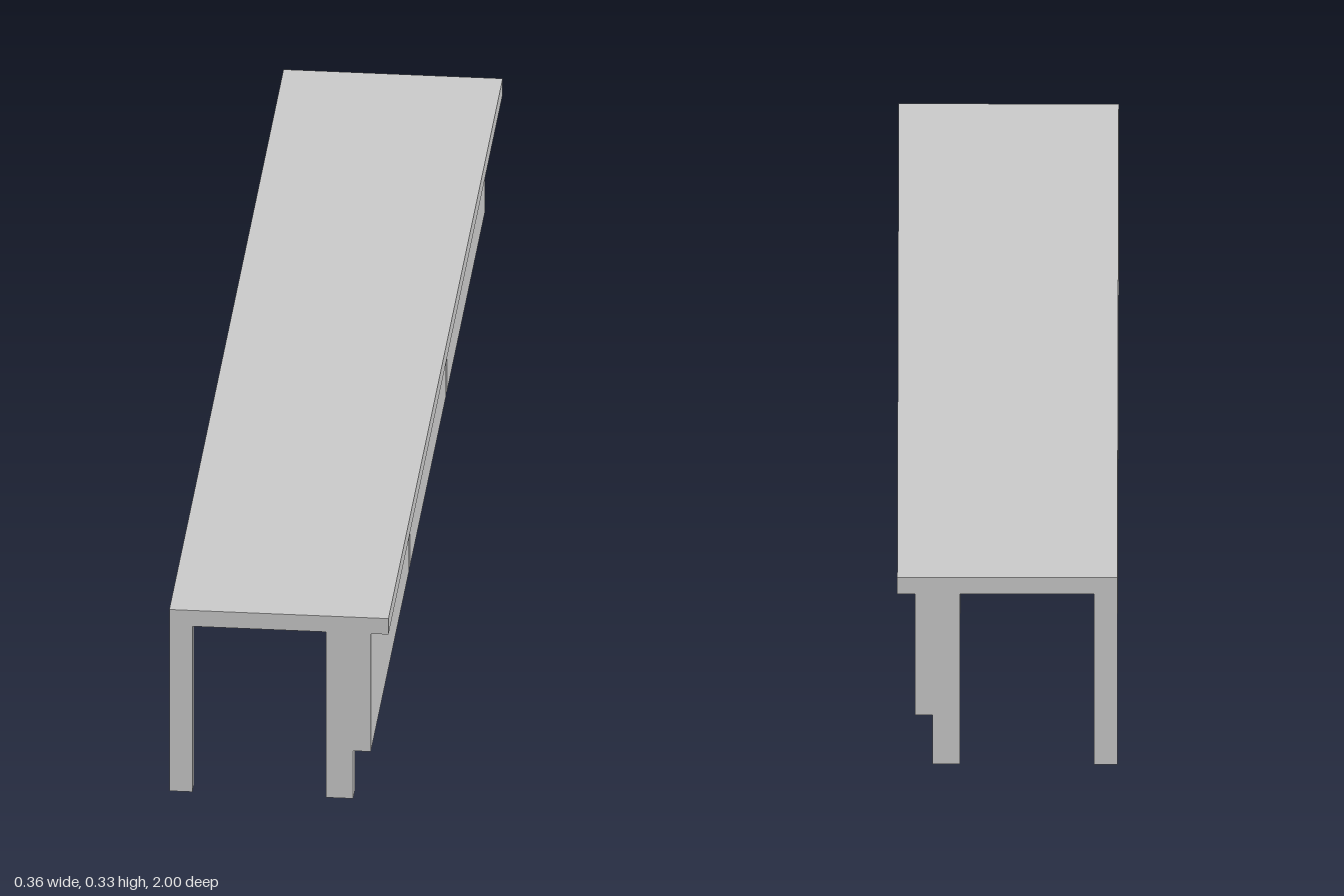
import * as THREE from 'three';

export function createModel() {
  const group = new THREE.Group();
  const material = new THREE.MeshStandardMaterial({ color: 0xcccccc, flatShading: true });

  // Box given by its extents along each axis
  function box(name, [x0, x1], [y0, y1], [z0, z1]) {
    const mesh = new THREE.Mesh(new THREE.BoxGeometry(x1 - x0, y1 - y0, z1 - z0), material);
    mesh.position.set((x0 + x1) / 2, (y0 + y1) / 2, (z0 + z1) / 2);
    mesh.name = name;
    group.add(mesh);
  }

  const under = 0.302;
  box('tabletop', [-0.18, 0.18], [under, 0.331], [-1, 1]);

  // Three desk sections: a modesty panel, with legs at both ends of each
  const sections = [
    { z: [0.333, 1], legs: [[0.97, 1], [0.333, 0.368]] },
    { z: [-0.319, 0.317], legs: [[0.288, 0.317], [-0.319, -0.285]] },
    { z: [-1, -0.331], legs: [[-0.364, -0.331], [-1, -0.97]] },
  ];
  for (const { z, legs } of sections) {
    box('modestyPanel', [0.122, 0.151], [0.087, under], z);
    for (const legZ of legs) {
      box('panelSideLeg', [0.077, 0.122], [0, under], legZ);
      box('openSideLeg', [-0.18, -0.142], [0, under], legZ);
    }
  }
  return group;
}
